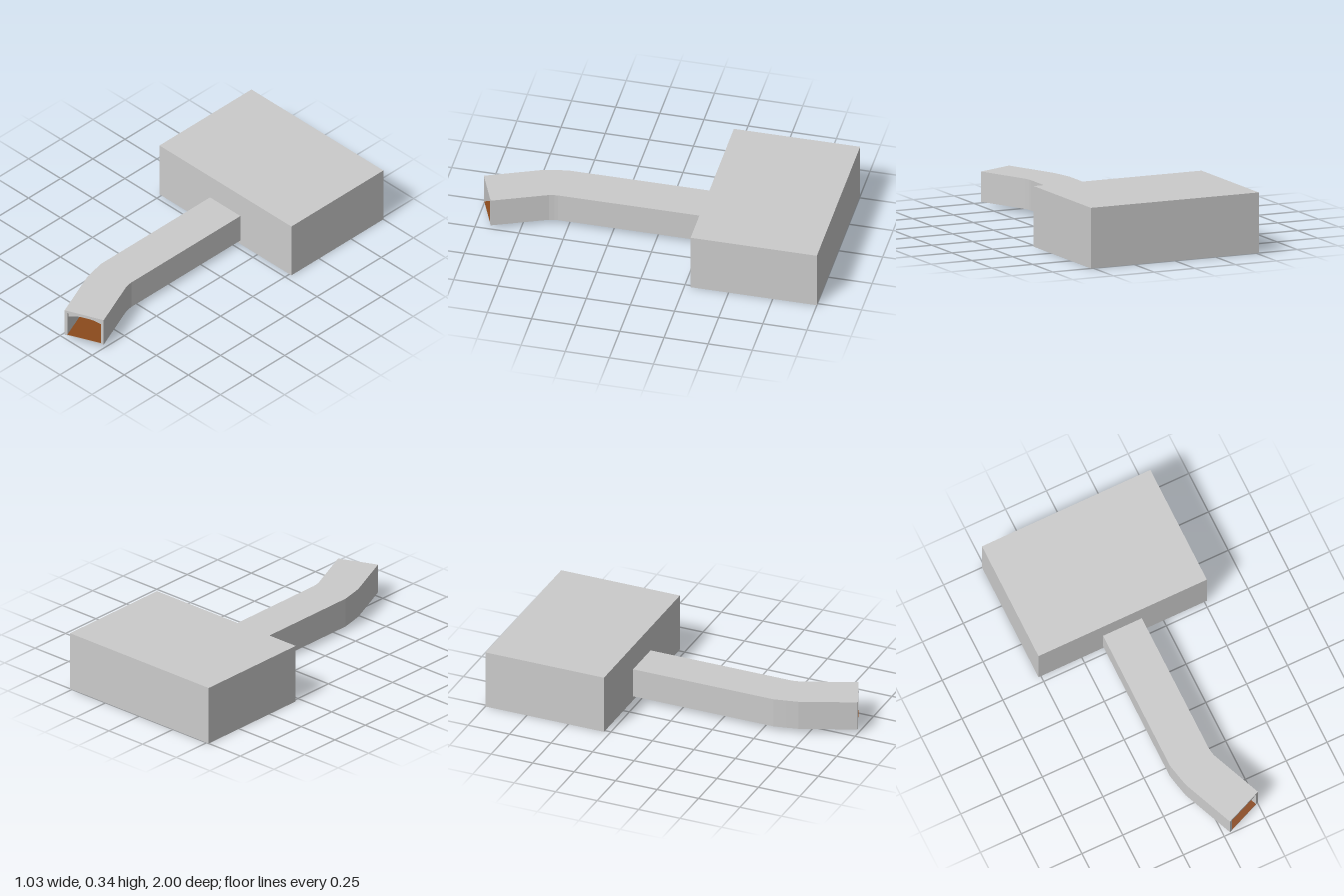
import * as THREE from 'three';

const grey = new THREE.MeshStandardMaterial({ color: 0xcccccc, flatShading: true });
const brown = new THREE.MeshStandardMaterial({ color: 0x8b4a1c, flatShading: true });

// Tunnel plan: [left x, left z, right x, right z] from the room to the mouth
const plan = [
  [-0.12, -0.285, 0.117, -0.285],
  [-0.12, 0.56, 0.117, 0.56],
  [-0.106, 0.63, 0.119, 0.58],
  [-0.09, 0.70, 0.125, 0.61],
  [0.035, 1.0, 0.25, 0.91],
];
const U0 = 0.07, U1 = 0.93;            // inner wall positions across the width
const BOTTOM = 0.025, TOP = 0.195, FLOOR = 0.03, CEIL = 0.18;

// Shallow vault: springs at the walls, nearly flat at the crown
const vault = [];
for (let i = 0; i <= 12; i++) {
  const t = i / 12;
  vault.push([U0 + (U1 - U0) * t, 0.145 + 0.018 * (1 - Math.abs(2 * t - 1) ** 2.5)]);
}

function mesh(name, geometry, material = grey) {
  const m = new THREE.Mesh(geometry, material);
  m.name = name;
  return m;
}

// Sweeps a profile of [u across, y] points along the plan sections
function sweep(profile, sections, closed) {
  const pos = [];
  const at = ([u, y], s) => [s[0] + (s[2] - s[0]) * u, y, s[1] + (s[3] - s[1]) * u];
  const count = closed ? profile.length : profile.length - 1;
  for (let k = 0; k < sections.length - 1; k++) {
    for (let i = 0; i < count; i++) {
      const p = profile[i], q = profile[(i + 1) % profile.length];
      const a = at(p, sections[k]), b = at(q, sections[k]);
      const c = at(q, sections[k + 1]), d = at(p, sections[k + 1]);
      pos.push(...a, ...b, ...c, ...a, ...c, ...d);
    }
  }
  const g = new THREE.BufferGeometry();
  g.setAttribute('position', new THREE.Float32BufferAttribute(pos, 3));
  g.computeVertexNormals();
  return g;
}

const path = (Type, pts) => new Type(pts.map(([x, y]) => new THREE.Vector2(x, y)));
const rect = (x0, y0, x1, y1) => [[x0, y0], [x1, y0], [x1, y1], [x0, y1]];

function box(name, w, h, d, x, y, z, material) {
  const m = mesh(name, new THREE.BoxGeometry(w, h, d), material);
  m.position.set(x, y, z);
  return m;
}

function makeRoom() {
  const room = new THREE.Group();
  room.name = 'room';
  const W = 1.03, H = 0.34, front = -0.285, back = -1, T = 0.02;
  const D = front - back, zc = (front + back) / 2;
  room.add(
    box('roomBase', W, FLOOR, D - T, 0, FLOOR / 2, zc - T / 2),
    box('roomRoof', W, T, D - T, 0, H - T / 2, zc - T / 2),
    box('backWall', W, H - T - FLOOR, T, 0, (H - T + FLOOR) / 2, back + T / 2),
  );
  for (const s of [-1, 1]) {
    room.add(box(s > 0 ? 'leftWall' : 'rightWall', T, H - T - FLOOR, D - 2 * T,
      s * (W - T) / 2, (H - T + FLOOR) / 2, zc));
  }
  // Front wall with the vaulted doorway
  const wall = path(THREE.Shape, rect(-W / 2, 0, W / 2, H));
  const toX = ([u, y]) => [-0.12 + 0.237 * u, y];
  wall.holes.push(path(THREE.Path, [[U0, FLOOR], ...vault, [U1, FLOOR]].map(toX)));
  const frontWall = mesh('frontWall', new THREE.ExtrudeGeometry(wall, { depth: T, bevelEnabled: false }));
  frontWall.position.z = front - T;
  room.add(frontWall);
  // Low steps against the back wall
  for (let i = 0; i < 3; i++) {
    const d = 0.18 - i * 0.05;
    room.add(box('step', 0.5, 0.005, d, 0, FLOOR + 0.0025 + i * 0.005, back + T + d / 2));
  }
  room.add(box('roomFloor', W - 2 * T, 0.002, D - 2 * T, 0, FLOOR, zc, brown));
  return room;
}

function makeTunnel() {
  const tunnel = new THREE.Group();
  tunnel.name = 'tunnel';
  const last = plan[plan.length - 1], prev = plan[plan.length - 2];
  const recess = last.map((v, i) => v + (prev[i] - v) * 0.05);
  const vaultPlan = [...plan.slice(0, -1), recess];

  tunnel.add(
    mesh('tunnelShell', sweep(rect(0, BOTTOM, 1, TOP), plan, true)),
    mesh('innerWalls', sweep([[U0, FLOOR], [U0, CEIL], [U1, CEIL], [U1, FLOOR]], plan)),
    mesh('vaultCeiling', sweep(vault, vaultPlan)),
    mesh('tunnelFloor', sweep([[U1, FLOOR], [U0, FLOOR]], plan), brown),
  );

  // Flat faces standing across the tunnel at a given section
  const addFace = (name, shape, s) => {
    const dx = s[2] - s[0], dz = s[3] - s[1];
    const face = mesh(name, new THREE.ShapeGeometry(shape));
    face.position.set(s[0], 0, s[1]);
    face.rotation.y = Math.atan2(-dz, dx);
    face.scale.x = Math.hypot(dx, dz);
    tunnel.add(face);
  };
  const frame = path(THREE.Shape, rect(0, BOTTOM, 1, TOP));
  frame.holes.push(path(THREE.Path, rect(U0, FLOOR, U1, CEIL)));
  addFace('mouthFrame', frame, last);
  addFace('mouthLintel', path(THREE.Shape, [...vault, [U1, CEIL], [U0, CEIL]]), recess);
  return tunnel;
}

export function createModel() {
  const model = new THREE.Group();
  model.name = 'roomWithTunnel';
  model.add(makeRoom(), makeTunnel());
  return model;
}
